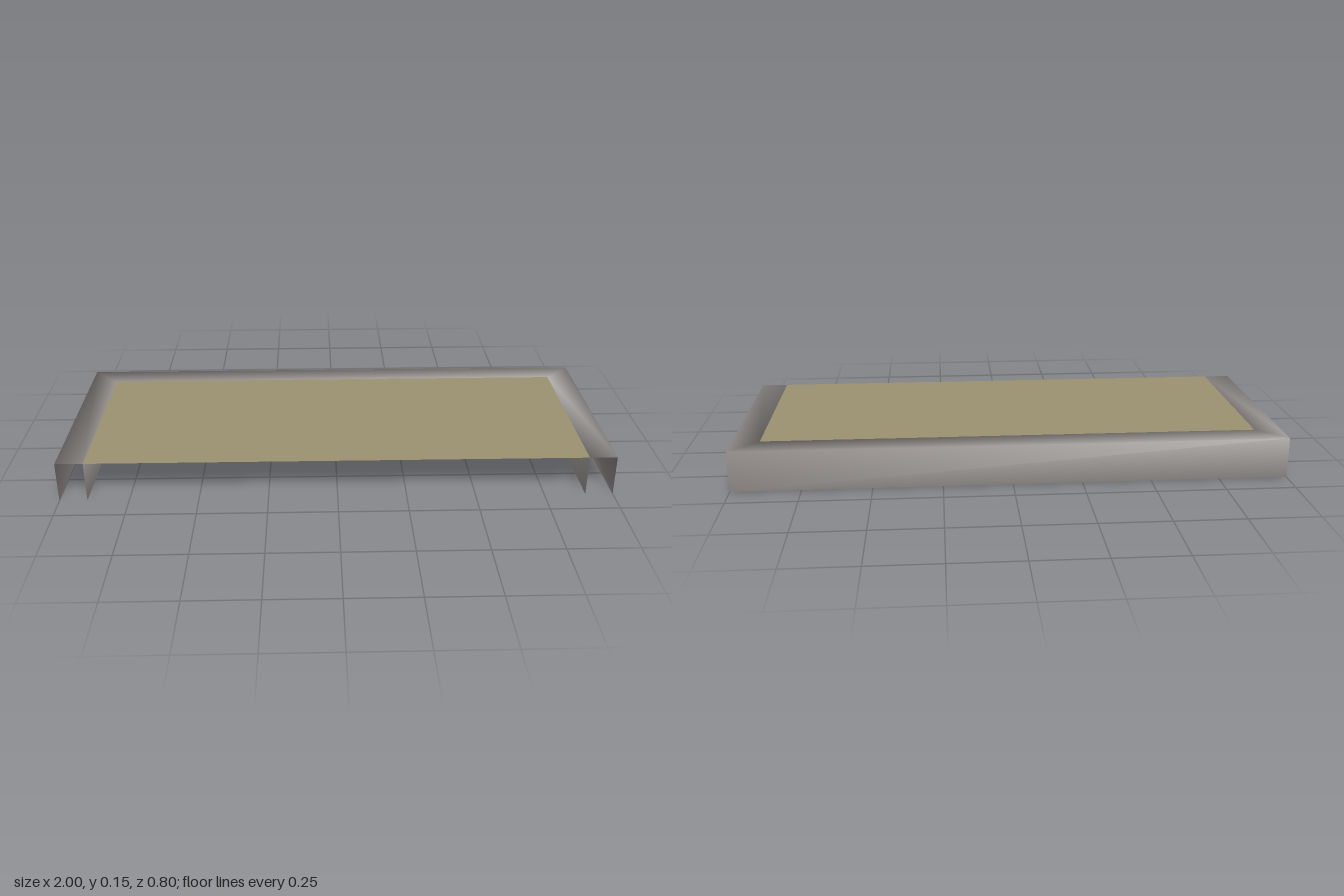
import * as THREE from 'three';

const HEIGHT = 0.15, RIM = 0.1, HALF_X = 1, HALF_Z = 0.4;

// Open channel: outer wall, flat top and inner wall swept around three sides
function channelGeometry() {
  const profile = [[0, 0], [0, HEIGHT], [RIM, HEIGHT], [RIM, 0]]; // inset, height
  // Corner x, z and the direction in which each corner is inset
  const stations = [
    [HALF_X, HALF_Z, -1, 0], [HALF_X, -HALF_Z, -1, 1],
    [-HALF_X, -HALF_Z, 1, 1], [-HALF_X, HALF_Z, 1, 0],
  ];
  const positions = [], index = [];
  for (const [x, z, dx, dz] of stations) {
    for (const [inset, y] of profile) positions.push(x + dx * inset, y, z + dz * inset);
  }
  const n = profile.length;
  for (let i = 0; i < stations.length - 1; i++) {
    for (let j = 0; j < n - 1; j++) {
      const a = i * n + j, b = a + n;
      index.push(a, b, b + 1, a, b + 1, a + 1);
    }
  }
  const geometry = new THREE.BufferGeometry();
  geometry.setAttribute('position', new THREE.Float32BufferAttribute(positions, 3));
  geometry.setIndex(index);
  geometry.computeVertexNormals(); // shared corners give the soft shading
  return geometry;
}

export function createModel() {
  const group = new THREE.Group();
  group.name = 'edgedPlatform';

  const grey = new THREE.MeshStandardMaterial({ color: 0x8a8583, side: THREE.DoubleSide });
  grey.name = 'stone grey';
  const tan = new THREE.MeshStandardMaterial({ color: 0x9a9170, side: THREE.DoubleSide });
  tan.name = 'sandy tan';

  // Grey edging around the back and both sides
  const edging = new THREE.Mesh(channelGeometry(), grey);
  edging.name = 'edging';
  group.add(edging);

  // Flat deck, flush with the top of the edging and open at the front
  const deck = new THREE.Mesh(
    new THREE.PlaneGeometry(2 * (HALF_X - RIM), 2 * HALF_Z - RIM).rotateX(-Math.PI / 2), tan);
  deck.name = 'deck';
  deck.position.set(0, HEIGHT, RIM / 2);
  group.add(deck);

  return group;
}
